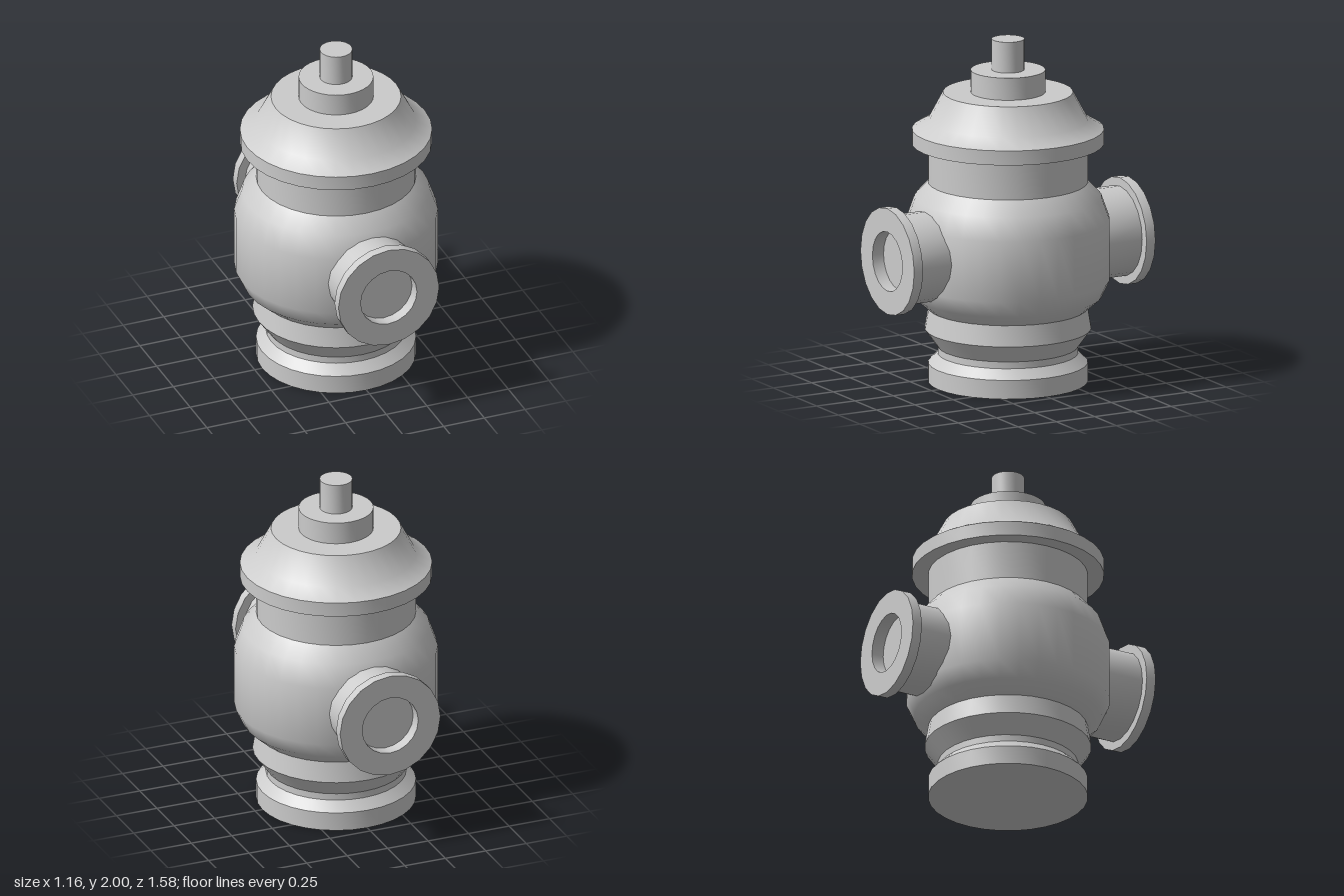
import * as THREE from 'three';
import { toCreasedNormals } from 'three/addons/utils/BufferGeometryUtils.js';

const material = new THREE.MeshStandardMaterial({ color: 0xcccccc });

// Turned part from a [radius, height] profile, with edges kept sharp
function turned(name, profile, sides = 32) {
  const points = profile.map(([r, y]) => new THREE.Vector2(r, y));
  const geometry = toCreasedNormals(new THREE.LatheGeometry(points, sides), 0.57);
  const mesh = new THREE.Mesh(geometry, material);
  mesh.name = name;
  return mesh;
}

export function createModel() {
  const model = new THREE.Group();
  model.name = 'hydrant';

  // Foot with a waist and a flared collar
  model.add(turned('base', [
    [0, 0], [0.455, 0], [0.455, 0.11], [0.4, 0.165],
    [0.4, 0.205], [0.475, 0.31], [0.455, 0.43],
  ]));

  // Rounded barrel
  model.add(turned('body', [
    [0.455, 0.43], [0.535, 0.5], [0.579, 0.595],
    [0.579, 0.95], [0.533, 1.08], [0.455, 1.165],
  ]));

  model.add(turned('neck', [[0.455, 1.165], [0.455, 1.39]]));

  // Overhanging rim and sloped hood
  model.add(turned('bonnet', [
    [0.455, 1.39], [0.547, 1.39], [0.547, 1.475],
    [0.455, 1.53], [0.37, 1.69], [0.213, 1.69],
  ]));

  // Stepped cap and operating stem
  model.add(turned('cap', [[0.213, 1.69], [0.213, 1.82], [0.093, 1.82]]));
  model.add(turned('stem', [[0.093, 1.82], [0.093, 2], [0, 2]]));

  // Front and back outlets: pipe, flange and recessed opening
  for (const [name, turn] of [['frontOutlet', 0], ['backOutlet', Math.PI]]) {
    const outlet = turned(name, [
      [0.26, 0.5], [0.26, 0.73], [0.31, 0.73], [0.31, 0.788],
      [0.173, 0.788], [0.173, 0.715], [0, 0.715],
    ], 20);
    outlet.geometry.rotateX(Math.PI / 2);
    outlet.rotation.y = turn;
    outlet.position.y = 0.79;
    model.add(outlet);
  }

  return model;
}
